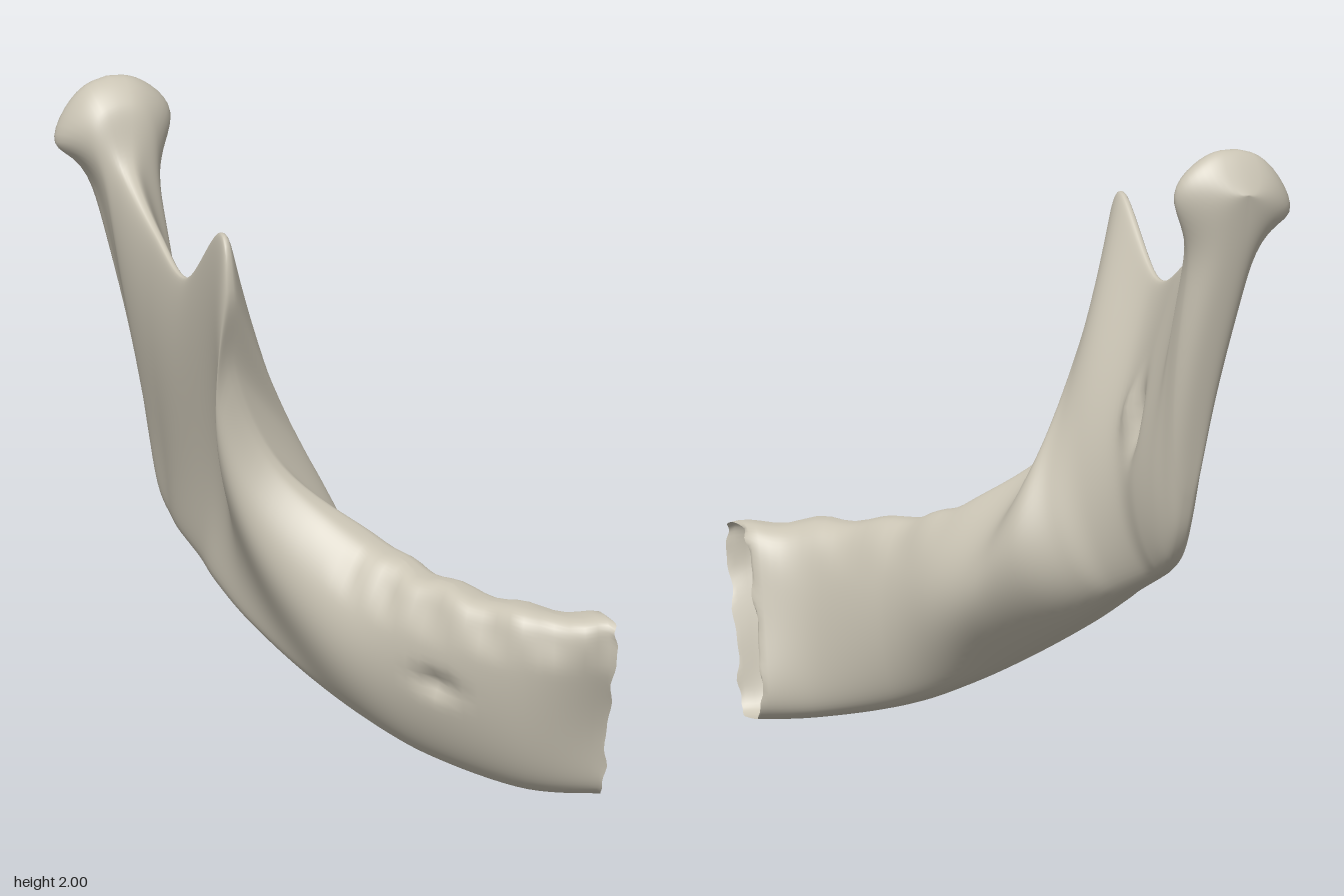
import * as THREE from 'three';

// Cross-sections from the cut chin end to the rear border of the ramus.
// bottom x,y,z | top x,y,z | half thickness low,mid,high | bow towards the inside
const SECTIONS = [
  [0.60, 0.00, 0.79, 0.60, 0.60, 0.93, 0.16, 0.10, 0.17, 0.03],
  [0.40, 0.01, 0.69, 0.36, 0.62, 0.78, 0.14, 0.14, 0.17, 0.00],
  [0.20, 0.07, 0.45, 0.17, 0.66, 0.50, 0.12, 0.15, 0.14, 0.00],
  [0.05, 0.16, 0.26, 0.04, 0.74, 0.26, 0.11, 0.18, 0.12, 0.01],
  [-0.08, 0.27, 0.07, -0.20, 0.95, 0.08, 0.12, 0.20, 0.06, 0.09],
  [-0.18, 0.39, -0.14, -0.34, 1.25, 0.06, 0.14, 0.185, 0.045, 0.13],
  [-0.23, 0.48, -0.30, -0.38, 1.55, 0.145, 0.14, 0.12, 0.045, 0.11],
  [-0.25, 0.53, -0.40, -0.385, 1.725, 0.07, 0.11, 0.095, 0.035, 0.07],
  [-0.28, 0.59, -0.53, -0.385, 1.50, -0.24, 0.08, 0.085, 0.03, 0.045],
  [-0.285, 0.62, -0.60, -0.39, 1.58, -0.50, 0.07, 0.09, 0.04, 0.045],
  [-0.29, 0.67, -0.67, -0.41, 1.74, -0.70, 0.07, 0.09, 0.07, 0.04],
  [-0.29, 0.76, -0.73, -0.415, 1.93, -0.78, 0.065, 0.088, 0.11, 0.033],
  [-0.295, 0.88, -0.77, -0.415, 1.995, -0.895, 0.06, 0.088, 0.13, 0.028],
  [-0.31, 1.03, -0.805, -0.415, 1.865, -0.99, 0.06, 0.088, 0.13, 0.02],
];
const LAST = SECTIONS.length - 1;

// Smooth interpolation between neighbouring sections
function sectionAt(s) {
  const i = Math.min(Math.floor(s), LAST - 1), f = s - i;
  const row = k => SECTIONS[Math.max(0, Math.min(LAST, k))];
  const [p, q, r, w] = [row(i - 1), row(i), row(i + 1), row(i + 2)];
  return q.map((b, k) => {
    const a = p[k], c = r[k], d = w[k];
    return b + 0.5 * f * (c - a + f * (2 * a - 5 * b + 4 * c - d + f * (3 * (b - c) + d - a)));
  });
}

const bell = (a, b, radius) => Math.exp(-(a * a + b * b) / (radius * radius));

// One point on the bone: s runs along it, phi runs round the section
function surfacePoint(s, phi) {
  const [bx, by, bz, tx, ty, tz, low, mid, high, bow] = sectionAt(s);
  const t = (1 - Math.cos(phi)) / 2;
  let x = bx + (tx - bx) * t, y = by + (ty - by) * t, z = bz + (tz - bz) * t;
  let half = low * (1 - t) * (1 - 2 * t) + 4 * mid * t * (1 - t) + high * t * (2 * t - 1);

  // Condyle head, and the rounded rear border
  const head = bell(z + 0.9, y - 1.89, 0.15);
  const side = Math.sign(Math.sin(phi)) * Math.pow(Math.abs(Math.sin(phi)), 0.65 - 0.15 * head);
  half += 0.125 * head;
  if (s > LAST - 1) half *= Math.sqrt(Math.max(0, 1 - (s - LAST + 1) ** 2));

  // The bow is strongest a third of the way up, so the coronoid stays thin
  let offset = side * half + bow * 6.75 * t * (1 - t) ** 2;
  // Worn tooth sockets along the upper edge
  const sockets = THREE.MathUtils.smoothstep(t, 0.7, 0.9) * (1 - THREE.MathUtils.smoothstep(s, 2.2, 3.6));
  y += 0.008 * sockets * Math.sin(s * 8);
  if (side < 0) offset += sockets * 0.012 * (1 + Math.sin(s * 11));
  // Nerve opening inside the ramus, with its small lip in front
  if (side > 0) {
    offset -= 0.05 * bell(z + 0.50, (y - 1.09) * 0.5, 0.045);
    offset += 0.025 * bell(z + 0.43, (y - 1.12) * 0.6, 0.05);
  }

  // The sections turn from facing back at the chin to facing sideways at the ramus
  const a = THREE.MathUtils.degToRad(Math.max(90 - 28 * s, 40 - 5 * s, 0));
  x += Math.cos(a) * offset;
  z -= Math.sin(a) * offset;
  // Nerve opening outside the body
  if (side < 0 && s < 4) {
    const pit = 0.04 * bell(x - 0.12, y - 0.35, 0.035);
    x += Math.cos(a) * pit;
    z -= Math.sin(a) * pit;
  }
  // The outer pole of the condyle sits lower than the inner one
  y += head * Math.min(0, x + 0.42) * 0.4;
  // Slightly ragged cut
  if (s === 0) x -= 0.008 + 0.005 * Math.sin(phi * 9) + 0.003 * Math.sin(phi * 16);
  return [x, y, z];
}

function loftBone(columns, ring) {
  const positions = [], indices = [];
  for (let i = 0; i <= columns; i++) {
    const s = LAST * Math.sin((i / columns) * Math.PI / 2);
    for (let j = 0; j < ring; j++) positions.push(...surfacePoint(s, (j / ring) * Math.PI * 2));
  }
  for (let i = 0; i < columns; i++) {
    for (let j = 0; j < ring; j++) {
      const k = (j + 1) % ring;
      const a = i * ring + j, b = a + ring, c = i * ring + k, d = c + ring;
      indices.push(a, b, c, c, b, d);
    }
  }
  const geometry = new THREE.BufferGeometry();
  geometry.setAttribute('position', new THREE.Float32BufferAttribute(positions, 3));
  geometry.setIndex(indices);
  geometry.computeVertexNormals();
  return geometry;
}

export function createModel() {
  const bone = new THREE.MeshStandardMaterial({ color: 0xcac4b4, side: THREE.DoubleSide });
  bone.name = 'bone';
  const group = new THREE.Group();
  group.name = 'halfJaw';
  // Hollow shell, open at the cut end
  const jaw = new THREE.Mesh(loftBone(150, 80), bone);
  jaw.name = 'jawBone';
  group.add(jaw);
  return group;
}
